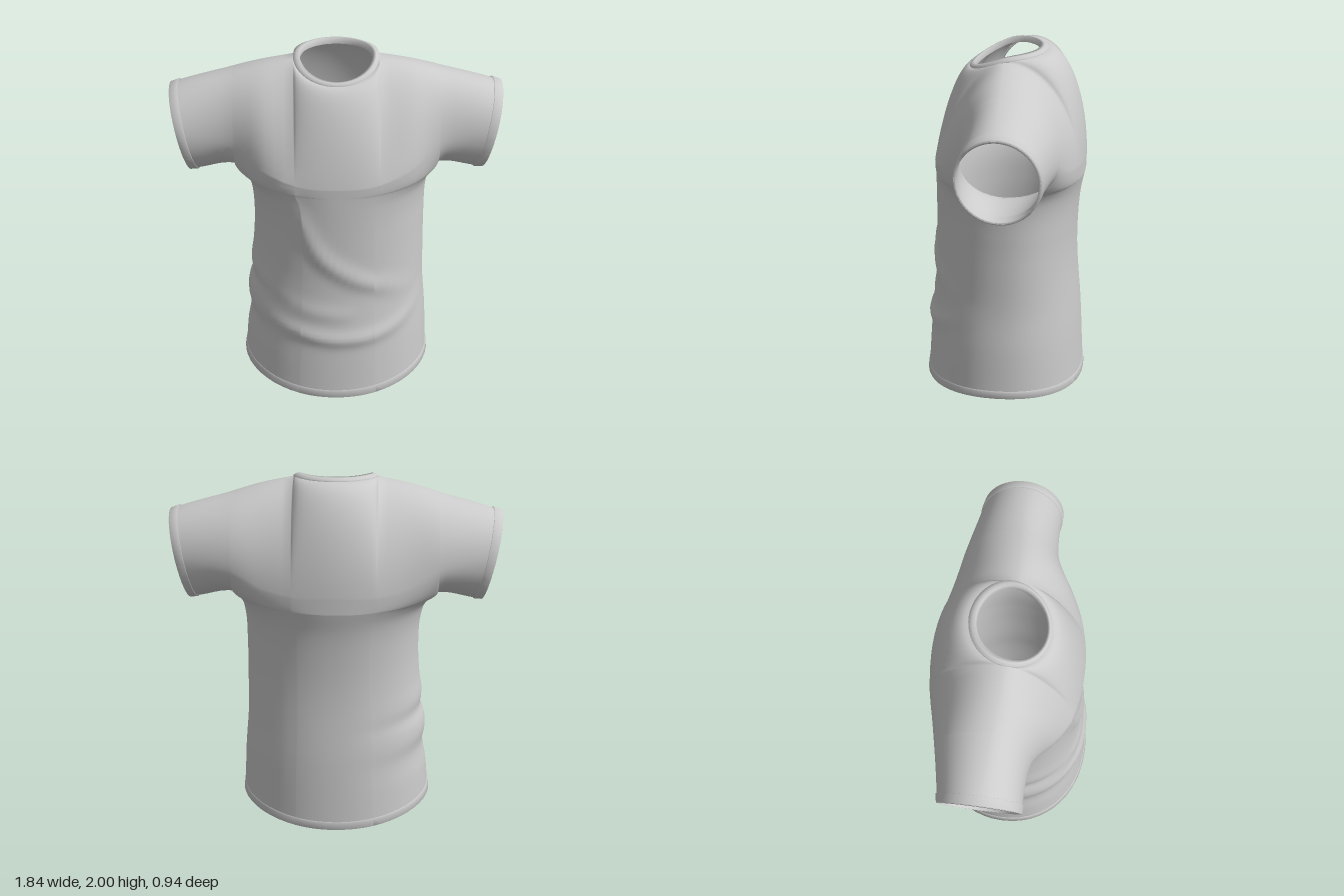
import * as THREE from 'three';
import { mergeGeometries, mergeVertices } from 'three/addons/utils/BufferGeometryUtils.js';

const { lerp, smoothstep } = THREE.MathUtils;

// Smooth function through [input, output] pairs
function curve(...pairs) {
  const f = new THREE.CubicInterpolant(pairs.map(p => p[0]), pairs.map(p => p[1]), 1, [0]);
  return x => f.evaluate(x)[0];
}

// Surface through rows of points
function loft(rows, { closed = false, flip = false } = {}) {
  const n = rows[0].length, pos = [], idx = [];
  rows.forEach(r => r.forEach(p => pos.push(p.x, p.y, p.z)));
  for (let r = 0; r < rows.length - 1; r++) {
    for (let c = 0; c < (closed ? n : n - 1); c++) {
      const a = r * n + c, b = r * n + (c + 1) % n, d = a + n, e = b + n;
      if (flip) idx.push(a, e, b, a, d, e);
      else idx.push(a, b, e, a, e, d);
    }
  }
  const g = new THREE.BufferGeometry();
  g.setAttribute('position', new THREE.Float32BufferAttribute(pos, 3));
  g.setIndex(idx);
  return g;
}

// Key sizes: armpit and neck half-widths, cuff station
const ARM = 0.57, NECK = 0.235, CUFF = 0.87, NECK_Z = -0.015;
const round = u => Math.pow(Math.max(0, 1 - Math.pow(Math.abs(u), 2.1)), 1 / 2.1);

// Torso outline by height
const widthLeft = curve([0, 0.548], [0.3, 0.535], [0.55, 0.515], [0.8, 0.51], [1, 0.508], [1.2, 0.515], [1.28, 0.535], [1.33, ARM]);
const widthRight = curve([0, 0.552], [0.2, 0.535], [0.35, 0.513], [0.45, 0.526], [0.52, 0.518], [0.59, 0.495], [0.66, 0.502],
  [0.8, 0.485], [1, 0.475], [1.2, 0.49], [1.28, 0.52], [1.33, ARM]);
const frontZ = curve([0, 0.465], [0.4, 0.435], [0.7, 0.405], [1, 0.397], [1.33, 0.395]);
const backZ = curve([0, -0.465], [0.4, -0.445], [0.8, -0.415], [1, -0.415], [1.2, -0.43], [1.33, -0.455]);

// Shoulder, sleeve and neckline outline
const shoulderY = curve([0.235, 1.962], [0.4, 1.93], [0.6, 1.872], [0.75, 1.822], [0.87, 1.778]);
const neckY = curve([-0.23, 1.98], [-0.1, 1.975], [-0.015, 1.962], [0.1, 1.92], [0.2, 1.878]);
const wideFront = curve([-0.2, 0.375], [0, 0.395], [0.2, 0.375], [0.4, 0.3], [0.5, 0.22], [0.57, 0.18], [0.65, 0.162], [0.87, 0.158]);
const wideBack = curve([-0.2, -0.437], [0, -0.455], [0.2, -0.437], [0.4, -0.388], [0.57, -0.345], [0.7, -0.315], [0.87, -0.28]);
const wideY = curve([-0.2, 1.37], [0, 1.36], [0.2, 1.37], [0.4, 1.43], [0.57, 1.52], [0.87, 1.535]);

// Draped folds on the front: path, height and breadth
const folds = [
  { pts: [[-0.3, 1.4], [-0.21, 1.15], [-0.1, 0.93], [0.08, 0.79], [0.28, 0.7], [0.45, 0.62]], amp: 0.02, breadth: 0.05 },
  { pts: [[-0.54, 0.53], [-0.3, 0.44], [0, 0.39], [0.3, 0.42], [0.44, 0.5], [0.5, 0.62]], amp: 0.02, breadth: 0.045 },
  { pts: [[-0.52, 0.7], [-0.35, 0.62], [-0.1, 0.56], [0.1, 0.54]], amp: 0.01, breadth: 0.05 },
].map(f => ({
  ...f,
  pts: new THREE.CatmullRomCurve3(f.pts.map(p => new THREE.Vector3(p[0], p[1], 0))).getPoints(50),
}));
function foldHeight(x, y) {
  let h = 0;
  for (const f of folds) {
    let best = 9, at = 0;
    f.pts.forEach((p, i) => {
      const d = Math.hypot(p.x - x, p.y - y);
      if (d < best) { best = d; at = i / 50; }
    });
    h += f.amp * Math.exp(-((best / f.breadth) ** 2)) * Math.sqrt(Math.sin(Math.PI * at));
  }
  return h;
}

// Stations across the body: neck, shoulder, then sleeve
const half = [];
for (let i = 0; i <= 8; i++) half.push(NECK * Math.sin(i * Math.PI / 16));
for (let i = 1; i <= 10; i++) half.push(NECK + (ARM - NECK) * Math.sin(i * Math.PI / 20));
const bodyCount = half.length;
for (let i = 1; i <= 10; i++) half.push(lerp(ARM, CUFF, i / 10));
const mirrored = list => [...list.slice(1).reverse().map(x => -x), ...list];
const stations = mirrored(half), bodyStations = mirrored(half.slice(0, bodyCount));

// Torso point: v runs from hem to armpit level
function torsoPoint(s, v, front) {
  const u = s / ARM, yn = 1.33 * v, uz = round(u), cz = lerp(0, -0.06, v);
  const x = u * (u > 0 ? widthLeft(yn) : widthRight(yn));
  const y = lerp(0.065 * u * u, 1.3 + 0.03 * u * u, v);
  let z = cz + ((front ? frontZ(yn) : backZ(yn)) - cz) * uz;
  if (front) z += foldHeight(x, y) * uz;
  return new THREE.Vector3(x, y, z);
}
function torsoRing(v) {
  const front = bodyStations.map(s => torsoPoint(s, v, true));
  const back = bodyStations.slice(1, -1).reverse().map(s => torsoPoint(s, v, false));
  return [...front, ...back];
}

// Chest, shoulder and sleeve point: t runs from the lower edge to the top
function yokePoint(s, t, front) {
  const x = Math.abs(s), u = x / ARM;
  const uz = x < ARM ? round(u) : 0;
  const bz = -0.06 + (front ? 0.455 : -0.395) * uz;
  const by = u < 1 ? 1.3 + 0.03 * u * u : lerp(1.33, 1.288, smoothstep(x, ARM, CUFF));
  const wz = (front ? wideFront : wideBack)(x), wy = wideY(x) + (front ? 0 : 0.04 * (1 - smoothstep(x, 0, 0.5)));
  let tz, ty;
  if (x < NECK) {
    tz = NECK_Z + (front ? 1 : -1) * 0.215 * Math.sqrt(Math.max(0, 1 - (x / NECK) ** 2));
    ty = neckY(tz);
  } else {
    tz = lerp(NECK_Z, -0.06, (x - NECK) / (CUFF - NECK));
    ty = shoulderY(x);
  }
  let y, z;
  if (t < 0.4) {
    const a = t / 0.4 * Math.PI / 2;
    z = bz + (wz - bz) * Math.sin(a);
    y = by + (wy - by) * (1 - Math.cos(a));
  } else {
    const a = (t - 0.4) / 0.6 * Math.PI / 2;
    const slack = front ? 0.42 * (1 - smoothstep(x, 0.25, 0.6)) : 0.1 * (1 - smoothstep(x, 0.25, 0.6));
    z = tz + (wz - tz) * lerp(Math.cos(a), 1 - Math.sin(a), slack);
    y = wy + (ty - wy) * Math.sin(a);
  }
  if (front) z += foldHeight(s, y) * uz;
  const lean = 0.21 * smoothstep(x, ARM, CUFF) * (y - 1.53);
  return new THREE.Vector3(s + Math.sign(s) * lean, y, z);
}
const steps = Array.from({ length: 26 }, (_, i) => i / 25);
function yokeSheet(front) {
  const list = front ? stations : [...stations].reverse();
  return loft(steps.map(t => list.map(s => yokePoint(s, t, front))));
}

// Sleeve loop, scaled about its middle
function sleeveRing(s, k) {
  const loop = [...steps.map(t => yokePoint(s, t, true)),
    ...steps.slice(1, -1).reverse().map(t => yokePoint(s, t, false))];
  const mid = new THREE.Vector3(s, 1.535, -0.06);
  return loop.map(p => new THREE.Vector3(p.x, lerp(mid.y, p.y, k), lerp(mid.z, p.z, k)));
}

export function createModel() {
  const shirt = new THREE.Group();
  shirt.name = 'shirt';
  const cloth = new THREE.MeshStandardMaterial({ color: 0xcccccc, side: THREE.DoubleSide });
  const add = (name, geometry) => {
    const g = mergeVertices(geometry, 1e-4);
    g.computeVertexNormals();
    const mesh = new THREE.Mesh(g, cloth);
    mesh.name = name;
    shirt.add(mesh);
  };

  // Body and sleeves, welded into one cloth
  const torsoRows = Array.from({ length: 61 }, (_, i) => torsoRing(i / 60));
  add('bodyAndSleeves', mergeGeometries([loft(torsoRows, { closed: true }), yokeSheet(true), yokeSheet(false)]));

  // Hem band, turned in at the bottom
  const hemRows = [[0.035, 1], [0.03, 1.008], [0, 1.012], [0, 0.985], [0.035, 0.98]].map(([v, k]) =>
    torsoRing(v).map(p => new THREE.Vector3(p.x * k, p.y, p.z * k)));
  add('hem', loft(hemRows, { closed: true }));

  // Sleeve cuffs
  for (const side of [1, -1]) {
    const rows = [[0.82, 0.99], [0.823, 1.03], [0.868, 1.03], [0.87, 0.96], [0.81, 0.95]].map(([s, k]) => sleeveRing(side * s, k));
    add(side > 0 ? 'leftCuff' : 'rightCuff', loft(rows, { closed: true, flip: side > 0 }));
  }

  // Collar band, from the neckline in to the opening
  const collarRows = [[0, -0.004], [0, 0.008], [0.5, 0.018], [1, 0.02], [1.05, -0.015]].map(([k, lift]) =>
    Array.from({ length: 48 }, (_, i) => {
      const a = i / 48 * Math.PI * 2, c = Math.cos(a);
      const z = lerp(NECK_Z, -0.0075, k) + lerp(0.215, 0.1825, k) * c;
      return new THREE.Vector3(lerp(NECK, 0.2, k) * Math.sin(a), neckY(NECK_Z + 0.215 * c) + lift, z);
    }));
  add('collar', loft(collarRows, { closed: true }));

  return shirt;
}
